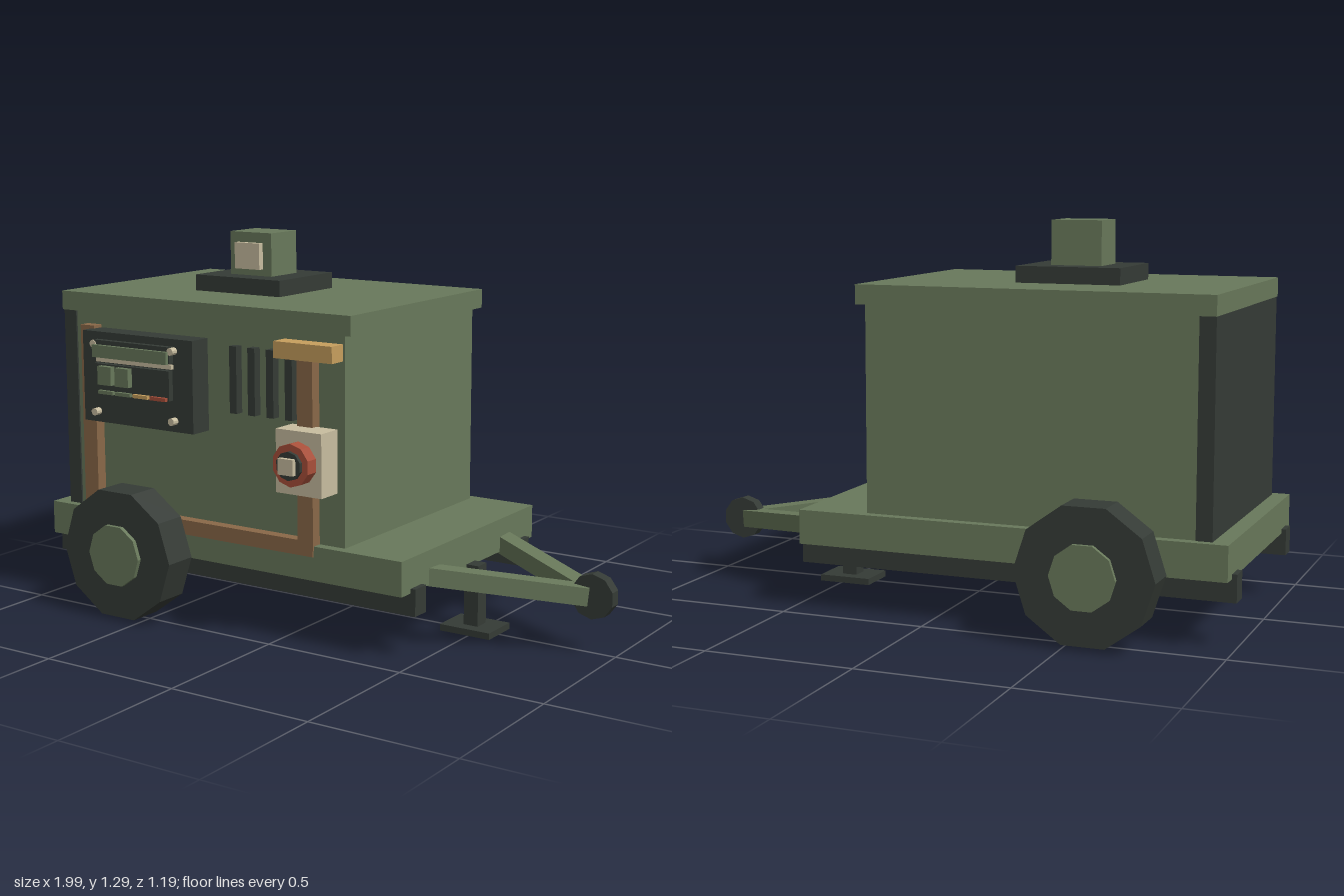
import * as THREE from 'three';

const paint = (name, color) => {
  const m = new THREE.MeshStandardMaterial({ color });
  m.name = name;
  return m;
};

export function createModel() {
  const green = paint('olive green', 0x69795b);
  const dark = paint('charcoal', 0x353b36);
  const brown = paint('brown', 0x8a6848);
  const cream = paint('cream', 0xc9bea0);
  const ochre = paint('ochre', 0xc79f5e);
  const red = paint('rust red', 0xa84f3a);
  for (const m of [green, dark, brown, cream, ochre, red]) m.flatShading = true;

  const model = new THREE.Group();
  model.name = 'generatorTrailer';

  const add = (name, geometry, material) => {
    const mesh = new THREE.Mesh(geometry, material);
    mesh.name = name;
    model.add(mesh);
    return mesh;
  };
  // Box given by its limits on each axis
  const box = (name, mat, x0, x1, y0, y1, z0, z1) =>
    add(name, new THREE.BoxGeometry(x1 - x0, y1 - y0, z1 - z0), mat)
      .position.set((x0 + x1) / 2, (y0 + y1) / 2, (z0 + z1) / 2);
  // Ten-sided disc with its axis along z
  const disc = (name, mat, r, x, y, z0, z1, turn = 0) => {
    const g = new THREE.CylinderGeometry(r, r, Math.abs(z1 - z0), 10);
    g.rotateX(Math.PI / 2).rotateZ(turn);
    add(name, g, mat).position.set(x, y, (z0 + z1) / 2);
  };

  // Chassis
  box('deck', green, -0.984, 0.468, 0.22, 0.335, -0.438, 0.438);
  for (const s of [1, -1]) {
    box('chassisRail', dark, -1, 0.485, 0.145, 0.235, s * 0.35 - 0.033, s * 0.35 + 0.033);
    disc('tyre', dark, 0.2285, -0.572, 0.232, s * 0.463, s * 0.582, Math.PI / 2);
    disc('wheelHub', green, 0.107, -0.572, 0.232, s * 0.5, s * 0.597, Math.PI / 2);

    // Drawbar arm running from under the deck to the hitch
    const a = new THREE.Vector3(0.38, 0.254, s * 0.283);
    const b = new THREE.Vector3(0.9, 0.191, s * 0.005);
    const arm = add('drawbarArm', new THREE.BoxGeometry(0.06, 0.06, a.distanceTo(b)), green);
    arm.position.copy(a).lerp(b, 0.5);
    arm.lookAt(b);
  }
  disc('hitch', dark, 0.075, 0.921, 0.192, -0.021, 0.021);
  box('jackPost', dark, 0.46, 0.513, 0.015, 0.23, -0.028, 0.028);
  box('jackFoot', dark, 0.393, 0.58, 0, 0.022, -0.07, 0.07);

  // Housing
  box('housing', green, -0.877, 0.235, 0.33, 1.03, -0.404, 0.404);
  box('rearPanel', dark, -0.928, -0.875, 0.335, 1.024, -0.41, 0.41);
  box('roof', green, -0.93, 0.265, 1.022, 1.087, -0.417, 0.417);
  box('exhaustBase', dark, -0.547, -0.191, 1.087, 1.142, -0.157, 0.157);
  box('exhaustBox', green, -0.457, -0.284, 1.142, 1.29, -0.074, 0.074);
  box('exhaustPlate', cream, -0.424, -0.32, 1.165, 1.255, 0.074, 0.095);

  // Conduit on the front side
  box('conduitLeft', brown, -0.826, -0.766, 0.31, 0.98, 0.4, 0.443);
  box('conduitBottom', brown, -0.8, 0.136, 0.3, 0.35, 0.4, 0.443);
  box('conduitRight', brown, 0.077, 0.137, 0.32, 0.98, 0.4, 0.443);
  box('conduitCap', ochre, 0.02, 0.243, 0.944, 0.998, 0.427, 0.49);

  // Ventilation slats
  for (let i = 0; i < 4; i++) {
    const x = -0.182 + i * 0.0735;
    box('ventSlat', dark, x - 0.014, x + 0.014, 0.735, 0.957, 0.4, 0.434);
  }

  // Control panel
  box('controlPanel', dark, -0.777, -0.307, 0.66, 0.97, 0.4, 0.487);
  box('panelFace', dark, -0.712, -0.39, 0.765, 0.865, 0.485, 0.507);
  box('display', green, -0.708, -0.39, 0.888, 0.93, 0.508, 0.522);
  box('displayBacking', dark, -0.712, -0.386, 0.89, 0.945, 0.485, 0.508);
  box('displayTrim', cream, -0.71, -0.386, 0.87, 0.885, 0.486, 0.5);
  for (const x of [-0.714, -0.382])
    for (const y of [0.931, 0.697]) disc('panelScrew', cream, 0.013, x, y, 0.485, 0.511);
  for (const x of [-0.652, -0.577])
    box('gauge', green, x - 0.029, x + 0.029, 0.797, 0.86, 0.505, 0.528);
  [green, green, ochre, red].forEach((mat, i) => {
    const x = -0.655 + i * 0.075;
    box('indicator', mat, x - 0.032, x + 0.032, 0.764, 0.776, 0.505, 0.52);
  });

  // Power outlet
  box('outletBox', cream, 0.043, 0.217, 0.517, 0.724, 0.42, 0.511);
  disc('outletRing', red, 0.07, 0.13, 0.622, 0.511, 0.556);
  disc('outletSocket', dark, 0.047, 0.13, 0.622, 0.55, 0.568);
  box('outletPlug', cream, 0.102, 0.158, 0.596, 0.648, 0.56, 0.584);

  return model;
}
